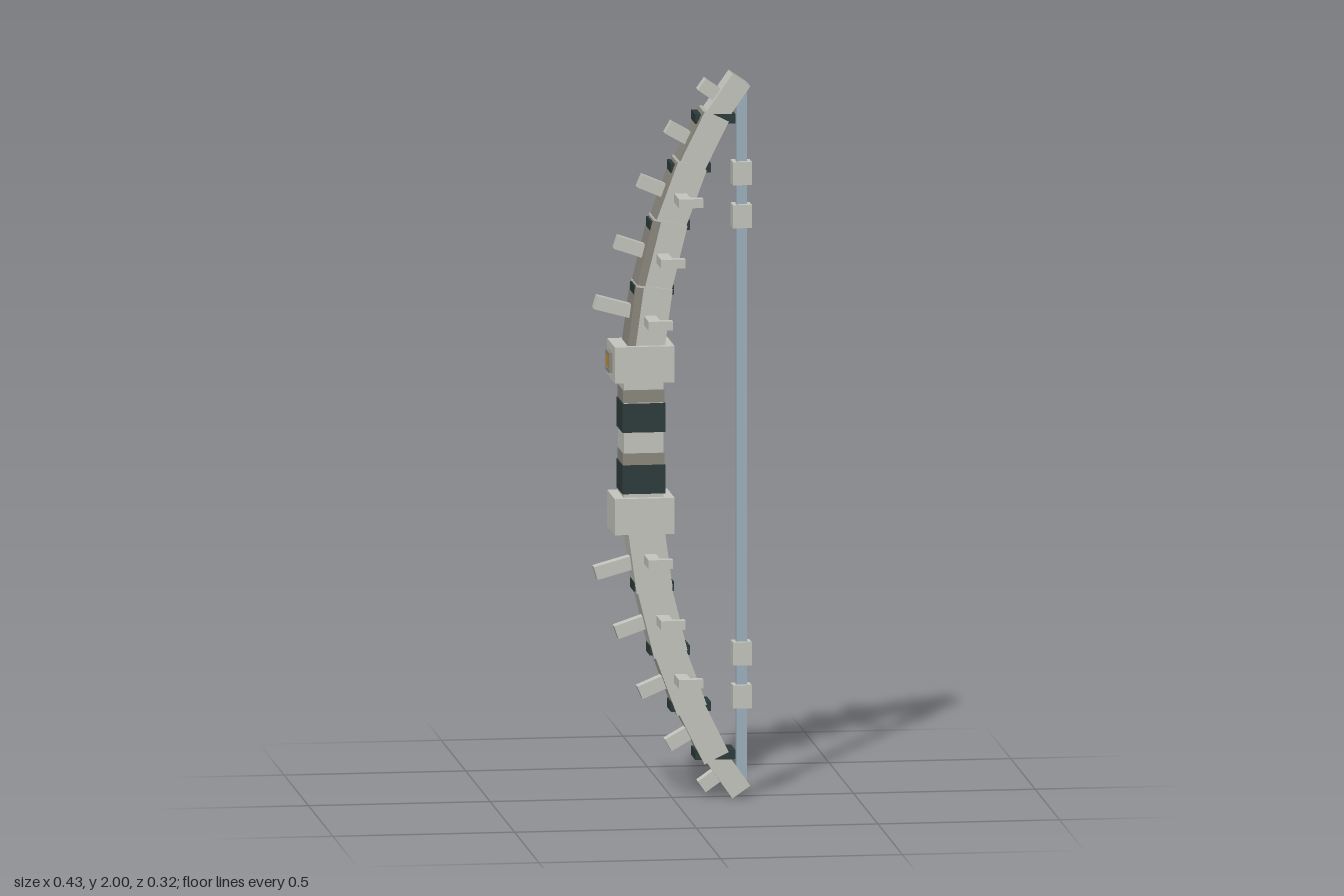
import * as THREE from 'three';

const mat = (name, color) => {
  const m = new THREE.MeshStandardMaterial({ color });
  m.name = name;
  return m;
};

export function createModel() {
  const bow = new THREE.Group();
  bow.name = 'bow';
  const bone = mat('pale bone grey', 0xc6c6bf);
  const brown = mat('weathered brown grey', 0x8b897e);
  const dark = mat('dark teal wrap', 0x2b3a39);
  const blue = mat('string blue grey', 0x9db2c0);
  const amber = mat('amber gem', 0xd08a1c);

  const box = (name, w, h, d, x, y, z, material, parent = bow) => {
    const m = new THREE.Mesh(new THREE.BoxGeometry(w, h, d), material);
    m.name = name;
    m.position.set(x, y, z);
    parent.add(m);
    return m;
  };

  // Grip with wraps
  box('grip', 0.11, 0.5, 0.114, -0.085, 1, 0, bone);
  for (const y of [0.89, 1.06]) box('gripWrap', 0.118, 0.08, 0.12, -0.085, y, 0, dark);
  for (const y of [0.945, 1.12]) box('gripWornBand', 0.114, 0.035, 0.118, -0.085, y, 0, brown);

  // Limb centre line and section sizes, from the grip out to the tip
  const joints = [[-0.085, 1.2], [-0.056, 1.41], [-0.012, 1.588], [0.046, 1.745], [0.113, 1.88], [0.186, 1.985]];
  const widths = [0.1, 0.094, 0.086, 0.075, 0.06];
  const depths = [0.116, 0.106, 0.097, 0.088, 0.08];
  const spikeTips = [[-0.212, 1.375], [-0.155, 1.54], [-0.09, 1.708], [-0.012, 1.855], [0.08, 1.972]];
  const prongs = [[-0.085, 1.33, 0.158], [-0.05, 1.5, 0.154], [0, 1.665, 0.148]];

  for (const s of [1, -1]) {
    const limb = new THREE.Group();
    limb.name = s > 0 ? 'upperLimb' : 'lowerLimb';
    bow.add(limb);
    const fy = (y) => 1 + s * (y - 1);

    box('collar', 0.165, 0.1, 0.155, -0.085, fy(1.21), 0, bone, limb);

    for (let i = 0; i < 5; i++) {
      // Tapered limb section between two joints
      const [ax, ay] = joints[i], [bx, by] = joints[i + 1];
      const tilt = Math.atan2(bx - ax, by - ay);
      const section = new THREE.Group();
      section.name = 'limbSection';
      section.position.set((ax + bx) / 2, fy((ay + by) / 2), 0);
      section.rotation.z = -s * tilt;
      limb.add(section);
      const len = Math.hypot(bx - ax, by - ay) + (i < 4 ? 0.02 : 0);
      box('limbCore', widths[i], len, depths[i], 0, 0, 0, bone, section);
      // Weathered outer face on the upper limb
      if (s > 0 && i < 4) {
        const t = i < 2 ? 0.022 : 0.005;
        box('wornBack', t, len - 0.01, depths[i] + 0.003, -widths[i] / 2 + t / 2 - 0.002, 0, 0, brown, section);
      }

      // Spike standing out from the back of the limb
      const [tx, ty] = spikeTips[i];
      const a = [0.27, 0.33, 0.4, 0.52, 0.62][i];
      const spikeLen = [0.13, 0.13, 0.12, 0.1, 0.09][i];
      const spike = box('spike', spikeLen, 0.037, 0.037,
        tx + Math.cos(a) * spikeLen / 2, fy(ty - Math.sin(a) * spikeLen / 2), 0, bone, limb);
      spike.rotation.z = -s * a;

      // Dark binding over each joint
      if (i < 4) box('binding', 0.11, 0.026, 0.085, bx + 0.001, fy(by), 0, dark, limb);
    }

    // Hooked side prongs
    for (const [x, y, z] of prongs) {
      for (const side of [1, -1]) {
        box('prong', 0.034, 0.025, z - 0.02, x + 0.017, fy(y), side * (z + 0.02) / 2, bone, limb);
        box('prongHook', 0.034, 0.025, 0.026, x + 0.05, fy(y), side * (z - 0.013), bone, limb);
      }
    }

    // Beads on the string
    for (const y of [1.605, 1.724]) box('stringBead', 0.052, 0.064, 0.05, 0.191, fy(y), 0, bone, limb);
  }

  box('bowString', 0.03, 1.92, 0.02, 0.191, 1, 0, blue);

  // Framed gem on the back of the upper collar
  const gem = new THREE.Group();
  gem.name = 'gem';
  gem.position.set(-0.172, 1.21, 0);
  bow.add(gem);
  for (const s of [1, -1]) {
    box('gemFrameRail', 0.012, 0.01, 0.068, 0, s * 0.023, 0, brown, gem);
    box('gemFramePost', 0.012, 0.036, 0.01, 0, 0, s * 0.029, brown, gem);
  }
  box('gemFace', 0.008, 0.036, 0.048, 0, 0, 0, amber, gem);

  return bow;
}
